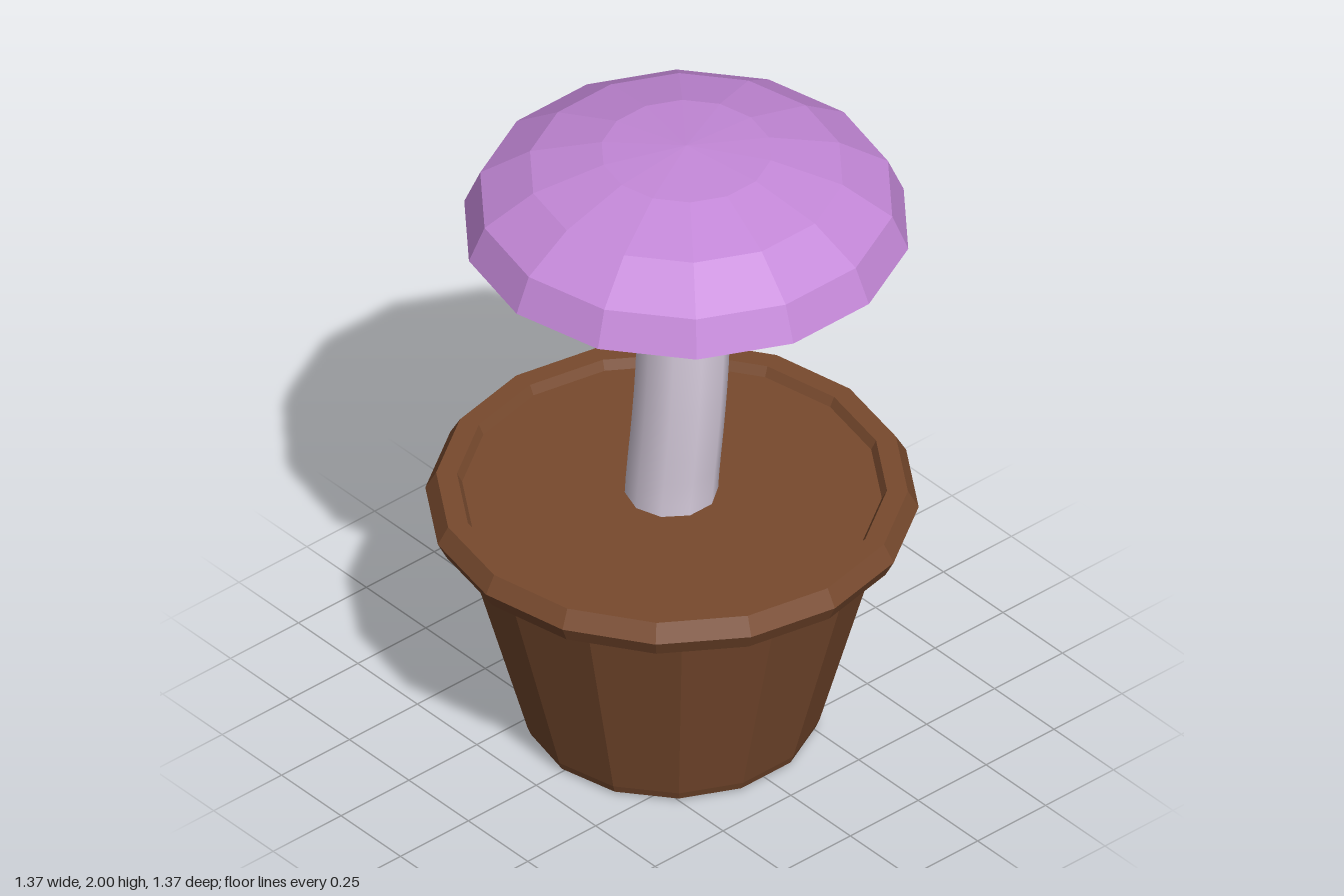
import * as THREE from 'three';

const colour = (name, hex) => {
  const material = new THREE.MeshStandardMaterial({ color: hex });
  material.name = name;
  return material;
};

// Faceted solid of revolution from [radius, y] pairs, listed bottom to top on the outside
function facetedLathe(name, profile, sides, material) {
  const points = profile.map(([r, y]) => new THREE.Vector2(r, y));
  const geometry = new THREE.LatheGeometry(points, sides).toNonIndexed();
  geometry.computeVertexNormals();
  const mesh = new THREE.Mesh(geometry, material);
  mesh.name = name;
  return mesh;
}

export function createModel() {
  const brown = colour('terracotta brown', 0x784a2e);
  const purple = colour('cap purple', 0xc488d8);
  const pale = colour('stem pale lilac', 0xdcd1e2);
  const model = new THREE.Group();
  model.name = 'pottedMushroom';

  // Tapered pot with a small bevel at the foot
  model.add(facetedLathe('pot', [[0, 0], [0.385, 0], [0.405, 0.01], [0.415, 0.035], [0.6, 0.71]], 14, brown));

  // Rim ring, closed from inner bottom round to the inner wall
  model.add(facetedLathe('rim', [
    [0.57, 0.7], [0.66, 0.7], [0.685, 0.75], [0.655, 0.803], [0.597, 0.803], [0.575, 0.76], [0.57, 0.7],
  ], 16, brown));

  // Soil disc just below the rim
  model.add(facetedLathe('soil', [[0.585, 0.775], [0, 0.775]], 16, brown));

  // Bent smooth stem
  const path = new THREE.CatmullRomCurve3([
    [-0.005, 0.74], [0.003, 0.84], [0.025, 1.03], [0.042, 1.22], [0.052, 1.45], [0.053, 1.727],
  ].map(([x, y]) => new THREE.Vector3(x, y, 0)));
  const stem = new THREE.Mesh(new THREE.TubeGeometry(path, 12, 0.13, 10), pale);
  stem.name = 'stem';
  model.add(stem);

  // Domed cap with a flat underside
  const cap = facetedLathe('cap', [
    [0, 1.725], [0.625, 1.725], [0.58, 1.83], [0.44, 1.922], [0.238, 1.98], [0, 2],
  ], 14, purple);
  cap.position.x = 0.06;
  model.add(cap);

  return model;
}
